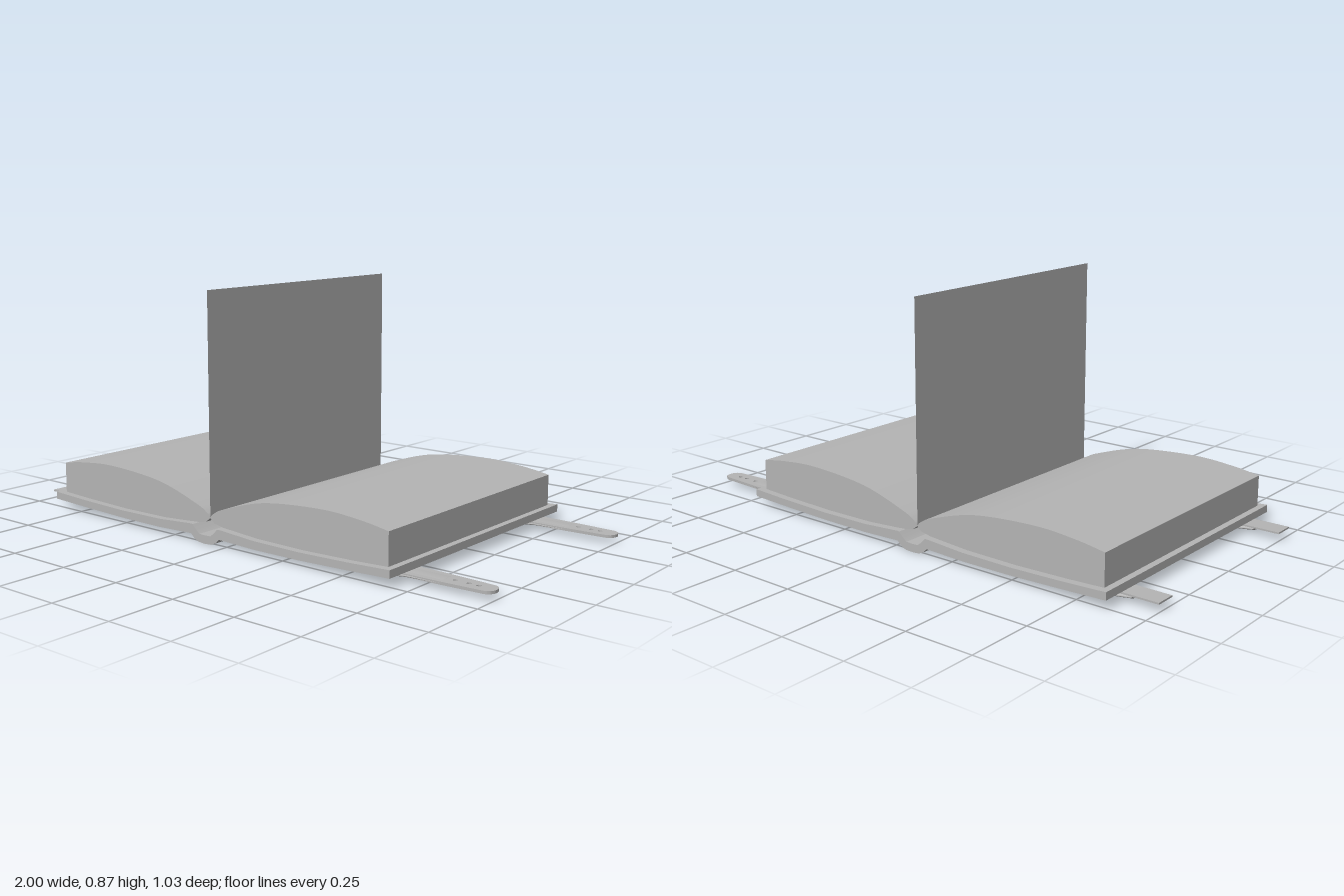
import * as THREE from 'three';
import { toCreasedNormals } from 'three/addons/utils/BufferGeometryUtils.js';

const FOLD = -0.087; // x of the gutter; both halves mirror about it

export function createModel() {
  const book = new THREE.Group();
  book.name = 'openBook';
  const grey = new THREE.MeshStandardMaterial({ color: 0xb4b4b4 });
  const greySheet = grey.clone();
  greySheet.side = THREE.DoubleSide;

  function add(name, geometry, material = grey) {
    const mesh = new THREE.Mesh(geometry, material);
    mesh.name = name;
    book.add(mesh);
    return mesh;
  }

  // Extrude an outline in x,y along z, centred on z = 0
  function slab(points, length) {
    const g = new THREE.ExtrudeGeometry(new THREE.Shape(points), { depth: length, bevelEnabled: false });
    g.translate(0, 0, -length / 2);
    return toCreasedNormals(g, 0.5);
  }
  const v = (x, y) => new THREE.Vector2(x, y);
  const spline = (pts, n) => new THREE.SplineCurve(pts.map(p => v(...p))).getPoints(n);

  // Bowed covers and rounded spine as one strip; u is the distance from the fold
  const under = [[0.783, 0.034], [0.62, 0.028], [0.42, 0.022], [0.22, 0.021], [0.066, 0.026],
    [0.052, 0.012], [0.03, 0.002], [0, 0]];
  const over = [[0, 0.03], [0.025, 0.031], [0.04, 0.042], [0.058, 0.06], [0.066, 0.061],
    [0.22, 0.051], [0.42, 0.049], [0.62, 0.054], [0.783, 0.061]];
  const both = half => [...half.map(([u, y]) => v(FOLD - u, y)),
    ...half.slice().reverse().filter(p => p[0] > 0).map(([u, y]) => v(FOLD + u, y))];
  add('coverAndSpine', slab([...both(under),
    ...over.slice().reverse().map(([u, y]) => v(FOLD + u, y)),
    ...over.filter(p => p[0] > 0).map(([u, y]) => v(FOLD - u, y))], 1.035));

  // Page blocks with a domed top that rolls into the gutter
  const dome = spline([[0.758, 0.173], [0.65, 0.189], [0.49, 0.198], [0.25, 0.179],
    [0.07, 0.128], [0.015, 0.102], [0, 0.085]], 32);
  const belly = [[0.02, 0.069], [0.058, 0.062], [0.22, 0.05], [0.42, 0.048], [0.62, 0.053], [0.758, 0.059]]
    .map(p => v(...p));
  for (const side of [-1, 1]) {
    const outline = [...dome, ...belly].map(p => v(FOLD + side * p.x, p.y));
    add(side > 0 ? 'leftPages' : 'rightPages', slab(outline, 0.98));
  }

  // Single upright leaf
  const leaf = new THREE.PlaneGeometry(0.978, 0.785, 1, 1);
  leaf.rotateY(Math.PI / 2);
  leaf.translate(FOLD, 0.475, 0);
  add('uprightPage', leaf, greySheet);

  // Loft of elliptical sections along x: [x, centre y, half width, half height]
  function loft(stations, sides = 20) {
    const pos = [], index = [];
    for (const [x, y, w, h] of stations)
      for (let i = 0; i < sides; i++) {
        const a = (i / sides) * Math.PI * 2;
        pos.push(x, y + Math.sin(a) * h, Math.cos(a) * w);
      }
    for (let s = 0; s < stations.length - 1; s++)
      for (let i = 0; i < sides; i++) {
        const a = s * sides + i, b = s * sides + (i + 1) % sides;
        index.push(a, a + sides, b, b, a + sides, b + sides);
      }
    const g = new THREE.BufferGeometry();
    g.setAttribute('position', new THREE.Float32BufferAttribute(pos, 3));
    g.setIndex(index);
    g.computeVertexNormals();
    return g;
  }

  // Rounded strap tongue with three punched holes
  function tongue() {
    const s = new THREE.Shape();
    s.moveTo(0.66, -0.046);
    s.lineTo(0.82, -0.042);
    s.lineTo(0.97, -0.034);
    s.quadraticCurveTo(0.996, -0.03, 0.998, 0);
    s.quadraticCurveTo(0.996, 0.03, 0.97, 0.034);
    s.lineTo(0.82, 0.042);
    s.lineTo(0.66, 0.046);
    for (const x of [0.85, 0.9, 0.935]) {
      const hole = new THREE.Path();
      hole.absarc(x, 0, 0.008, 0, Math.PI * 2, true);
      s.holes.push(hole);
    }
    const g = new THREE.ExtrudeGeometry(s, { depth: 0.01, bevelEnabled: false, curveSegments: 10 });
    g.rotateX(Math.PI / 2);
    g.translate(0, 0.03, 0);
    return toCreasedNormals(g, 0.6);
  }

  for (const z of [-0.39, 0.39]) {
    const end = z > 0 ? 'front' : 'back';
    // Left side: pointed anchor under the cover flowing into the tongue
    add(end + 'LeftAnchor', loft([[0.48, 0.026, 0.001, 0.001], [0.51, 0.022, 0.018, 0.008],
      [0.55, 0.019, 0.037, 0.011], [0.6, 0.018, 0.052, 0.011], [0.65, 0.02, 0.053, 0.01],
      [0.7, 0.023, 0.048, 0.008], [0.82, 0.025, 0.042, 0.006], [0.821, 0.025, 0.0, 0.0]])).position.z = z;
    add(end + 'LeftTongue', tongue()).position.z = z;

    // Right side: pointed keeper and a flat strap with a square end
    add(end + 'RightKeeper', loft([[-0.9, 0.022, 0.0, 0.0], [-0.9, 0.022, 0.036, 0.009],
      [-0.85, 0.018, 0.043, 0.01], [-0.79, 0.017, 0.051, 0.011], [-0.74, 0.018, 0.04, 0.01],
      [-0.69, 0.021, 0.02, 0.007], [-0.65, 0.025, 0.001, 0.001]])).position.z = z;
    const strap = new THREE.BoxGeometry(0.25, 0.006, 0.076);
    strap.translate(-0.875, 0.029, 0);
    add(end + 'RightStrap', strap).position.z = z;
  }
  return book;
}
